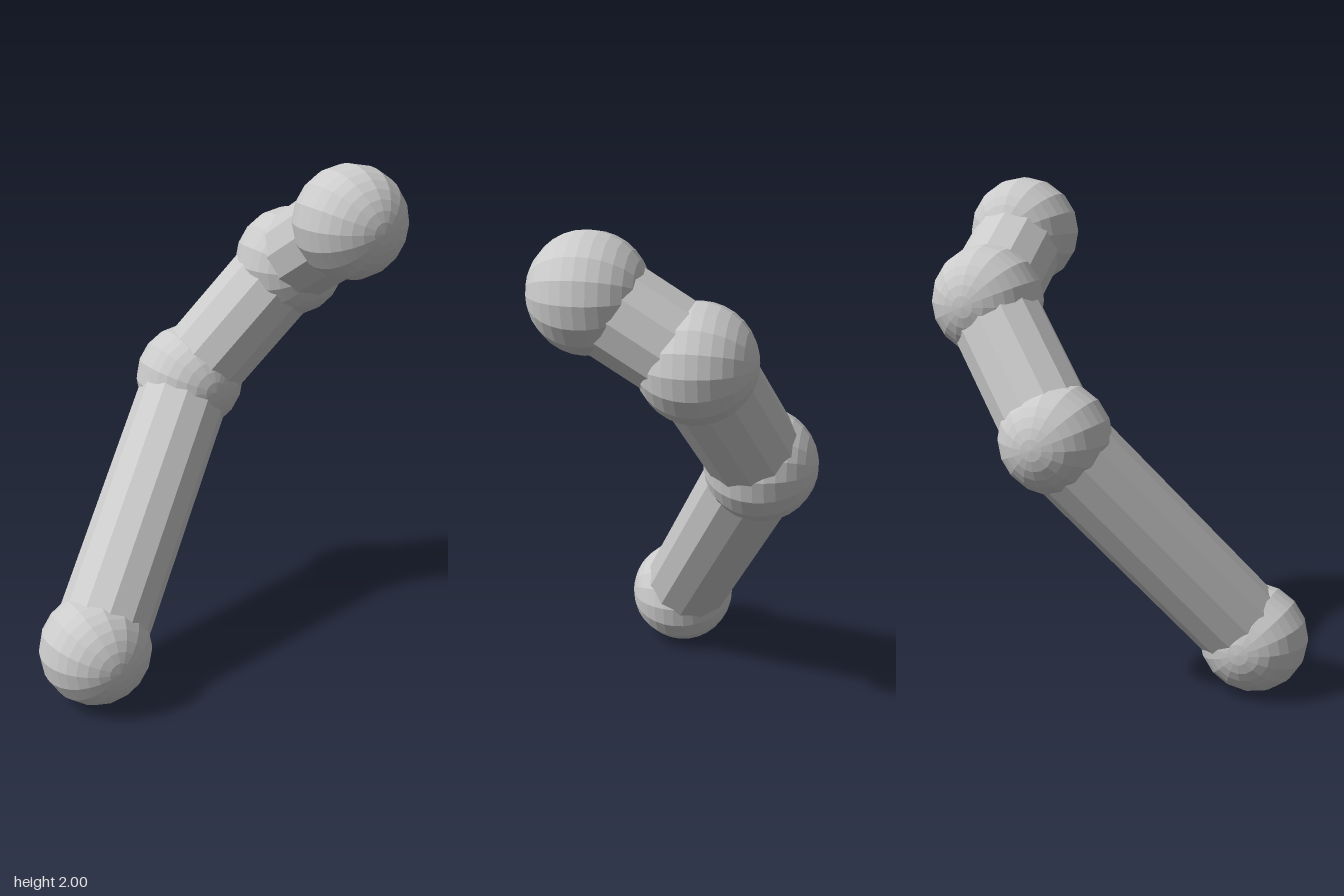
import * as THREE from 'three';

const JOINT_RADIUS = 0.217;
const ROD_RADIUS = 0.182;

export function createModel() {
  const group = new THREE.Group();
  group.name = 'jointedArm';
  const material = new THREE.MeshStandardMaterial({ color: 0xcccccc, flatShading: true });

  // joint centres, from the lowest ball to the top one
  const joints = [
    [-0.52, 0.217, 0.168],
    [0.14, 1.07, -0.273],
    [0.5, 1.55, -0.1],
    [0.518, 1.783, 0.273],
  ].map((p) => new THREE.Vector3(...p));

  // ball joints, poles along z
  const ball = new THREE.SphereGeometry(JOINT_RADIUS, 16, 16).rotateX(Math.PI / 2);
  joints.forEach((centre, i) => {
    const mesh = new THREE.Mesh(ball, material);
    mesh.name = `ballJoint${i + 1}`;
    mesh.position.copy(centre);
    group.add(mesh);
  });

  // rods between neighbouring joints
  for (let i = 0; i < joints.length - 1; i++) {
    const a = joints[i];
    const b = joints[i + 1];
    const rod = new THREE.CylinderGeometry(ROD_RADIUS, ROD_RADIUS, a.distanceTo(b), 12);
    rod.rotateX(Math.PI / 2);
    const mesh = new THREE.Mesh(rod, material);
    mesh.name = `rod${i + 1}`;
    mesh.position.copy(a).lerp(b, 0.5);
    mesh.lookAt(b);
    group.add(mesh);
  }
  return group;
}
